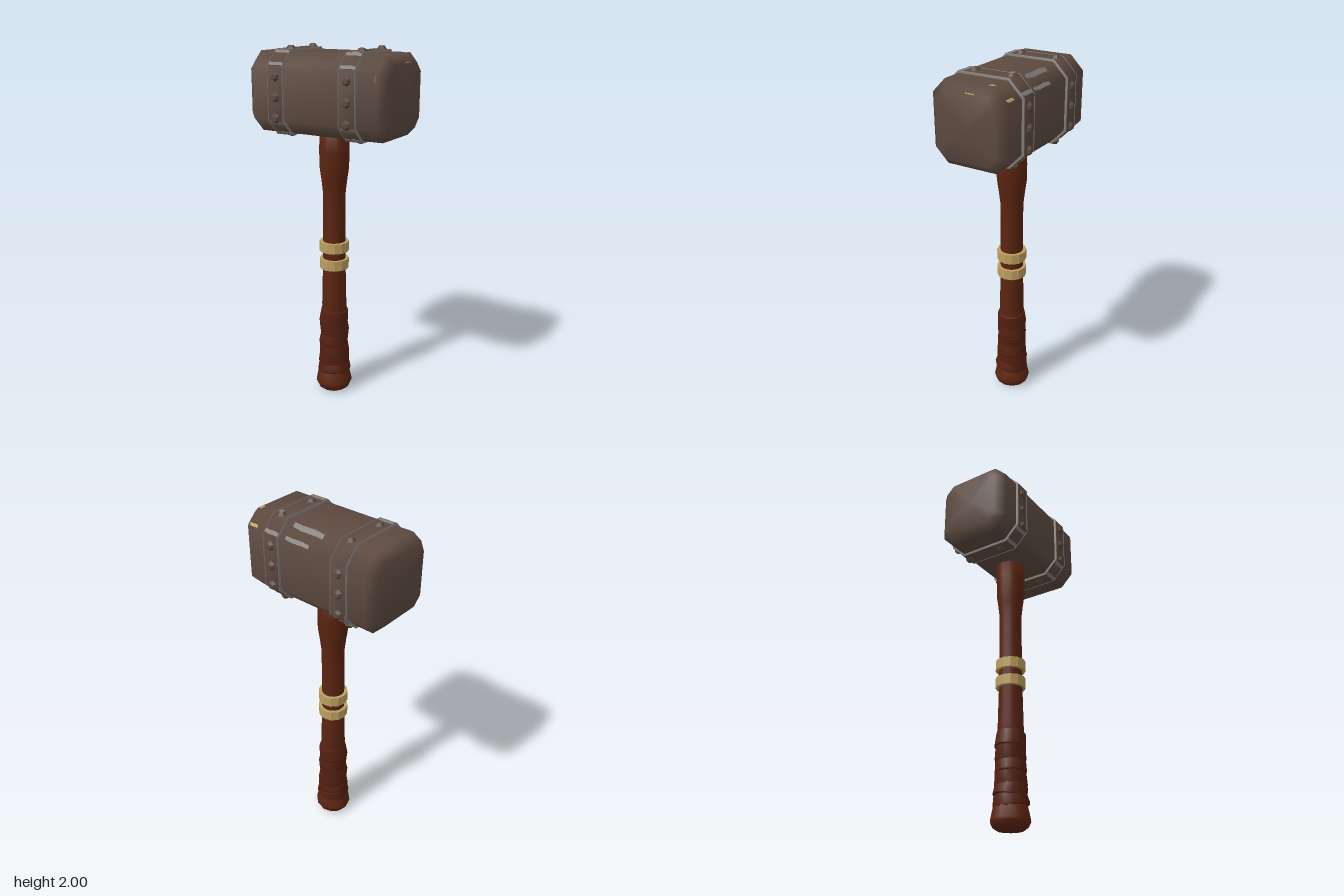
import * as THREE from 'three';
import { toCreasedNormals } from 'three/addons/utils/BufferGeometryUtils.js';

const HALF_Y = 0.2125, HALF_Z = 0.215, CHAMFER = 0.075;

function material(name, color) {
  const m = new THREE.MeshStandardMaterial({ color });
  m.name = name;
  return m;
}

// Closed loft along x through chamfered rectangles; each section is [x, growth]
function octagonLoft(sections) {
  const pos = [], index = [];
  for (const [x, g] of sections) {
    const a = HALF_Y + g, b = HALF_Z + g, c = CHAMFER + g * 0.6;
    const ring = [[a, b - c], [a - c, b], [c - a, b], [-a, b - c], [-a, c - b], [c - a, -b], [a - c, -b], [a, c - b]];
    for (const [y, z] of ring) pos.push(x, y, z);
  }
  const last = (sections.length - 1) * 8;
  const centre = pos.length / 3;
  pos.push(sections[0][0], 0, 0, sections[sections.length - 1][0], 0, 0);
  for (let k = 0; k < 8; k++) {
    const n = (k + 1) % 8;
    for (let s = 0; s < last; s += 8) {
      index.push(s + k, s + n, s + 8 + k, s + n, s + 8 + n, s + 8 + k);
    }
    index.push(centre, n, k, centre + 1, last + k, last + n);
  }
  const geo = new THREE.BufferGeometry();
  geo.setAttribute('position', new THREE.Float32BufferAttribute(pos, 3));
  geo.setIndex(index);
  geo.computeVertexNormals();
  return geo;
}

// Thin irregular chip facing +z
function chipGeometry(w, h) {
  const pts = [[-0.5, -0.3], [-0.2, -0.5], [0.25, -0.4], [0.5, -0.5], [0.5, 0.25], [0.2, 0.5], [-0.3, 0.4], [-0.5, 0.5]];
  const shape = new THREE.Shape(pts.map(([x, y]) => new THREE.Vector2(x * w, y * h)));
  return new THREE.ExtrudeGeometry(shape, { depth: 0.004, bevelEnabled: false });
}

function lathe(profile, segments) {
  return new THREE.LatheGeometry(profile.map(([r, y]) => new THREE.Vector2(r, y)), segments);
}

export function createModel() {
  const model = new THREE.Group();
  model.name = 'mallet';
  const iron = material('brown iron', 0x5d4a40);
  const worn = material('worn steel', 0x827d79);
  const wood = material('reddish wood', 0x5b2410);
  const leather = material('dark leather', 0x542010);
  const brass = material('pale brass', 0xbd9f60);

  const add = (parent, name, geo, mat, x = 0, y = 0, z = 0) => {
    const mesh = new THREE.Mesh(geo, mat);
    mesh.name = name;
    mesh.position.set(x, y, z);
    parent.add(mesh);
    return mesh;
  };

  // Head, turned slightly on the shaft
  const head = new THREE.Group();
  head.name = 'head';
  head.position.y = 1.7625;
  head.rotation.y = -0.04;
  model.add(head);
  add(head, 'headBlock', octagonLoft([[-0.42, -0.048], [-0.37, 0], [0.37, 0], [0.42, -0.048]]), iron);

  // Frames facing outward from the head; angle runs from front (0) to top (90)
  const face = (degrees) => {
    const g = new THREE.Group();
    g.name = 'faceDetails';
    g.rotation.x = -THREE.MathUtils.degToRad(degrees);
    head.add(g);
    return g;
  };
  const front = face(0), top = face(90), back = face(180), bottom = face(-90);
  const upperFront = face(45), upperBack = face(135), lowerFront = face(-45), lowerBack = face(-135);

  // Bands with worn rims and hexagonal rivets
  const rivetGeo = toCreasedNormals(
    new THREE.CylinderGeometry(0.015, 0.028, 0.018, 6).rotateX(Math.PI / 2), 0.3);
  const bandGeo = octagonLoft([[-0.048, 0], [-0.046, 0.011], [0.046, 0.011], [0.048, 0]]);
  const rimGeo = octagonLoft([[-0.003, 0], [-0.002, 0.0125], [0.002, 0.0125], [0.003, 0]]);
  for (const x of [-0.222, 0.208]) {
    add(head, 'band', bandGeo, iron, x);
    for (const side of [-1, 1]) add(head, 'bandRim', rimGeo, worn, x + side * 0.047);

    for (const y of [0.09, -0.0175, -0.127]) {
      add(front, 'rivet', rivetGeo, iron, x, y, HALF_Z + 0.018);
      add(back, 'rivet', rivetGeo, iron, x, -y, HALF_Z + 0.018);
    }
    for (const z of [-0.135, 0.075]) {
      add(top, 'rivet', rivetGeo, iron, x, -z, HALF_Y + 0.018);
      add(bottom, 'rivet', rivetGeo, iron, x, z, HALF_Y + 0.018);
    }

    // Worn patches where the bands fold over the corners
    const patch = chipGeometry(0.088, 0.024);
    for (const corner of [upperFront, lowerFront]) {
      for (const v of [-0.042, 0.042]) add(corner, 'bandWear', patch, worn, x, v, 0.2575);
    }
    add(top, 'bandWear', patch, worn, x, -0.127, HALF_Y + 0.009);
    add(x > 0 ? upperBack : lowerBack, 'bandWear', patch, worn, x, 0.04, 0.2575);
  }
  add(top, 'rivetWear', new THREE.CylinderGeometry(0.014, 0.015, 0.003, 6).rotateX(Math.PI / 2),
    worn, 0.208, 0.135, HALF_Y + 0.028);

  // Scuffs and small bright chips on the head block
  add(upperBack, 'scuff', chipGeometry(0.19, 0.032), worn, 0.02, -0.034, 0.2465);
  add(upperBack, 'scuff', chipGeometry(0.15, 0.024), worn, 0.05, 0.038, 0.2465);
  add(upperBack, 'brassChip', chipGeometry(0.055, 0.018), brass, 0.34, 0.036, 0.2465);
  add(top, 'brassChip', chipGeometry(0.02, 0.035), brass, 0.36, 0.12, HALF_Y - 0.003);
  add(front, 'smallScuff', chipGeometry(0.005, 0.035), worn, 0.36, 0.107, HALF_Z - 0.003);
  const endChip = add(head, 'brassChip', chipGeometry(0.05, 0.008), brass, 0.411, 0.171, -0.03);
  endChip.rotation.set(0, Math.PI / 2, 0);

  // Wooden shaft, thicker under the head
  add(model, 'shaft', lathe([
    [0, 0.08], [0.07, 0.08], [0.071, 0.55], [0.065, 0.8], [0.063, 1.1], [0.064, 1.22],
    [0.072, 1.29], [0.082, 1.36], [0.083, 1.45], [0.08, 1.6], [0, 1.6]
  ], 16), wood);

  // Pair of faceted brass rings
  for (const y of [0.803, 0.905]) {
    const ring = new THREE.CylinderGeometry(0.083, 0.083, 0.058, 12);
    add(model, 'shaftRing', toCreasedNormals(ring, 0.3), brass, 0, y);
  }

  // Grip: overlapping leather turns, each leaning a different way
  const turns = [[0.475, 0.079, 0.085], [0.405, 0.081, 0.084], [0.335, 0.081, 0.085],
    [0.265, 0.083, 0.088], [0.205, 0.086, 0.092], [0.155, 0.088, 0.098]];
  turns.forEach(([y, rTop, rBottom], i) => {
    const h = i < 4 ? 0.09 : 0.07;
    const turn = add(model, 'gripTurn', lathe([
      [0.06, -h / 2], [rBottom - 0.004, -h / 2], [rBottom, -h / 2 + 0.01], [rTop, h / 2 - 0.006],
      [rTop - 0.006, h / 2], [0.06, h / 2]
    ], 14), leather, 0, y);
    turn.rotation.set(0.12 * Math.sin(i * 2.1), 0, i % 2 ? 0.1 : -0.12);
  });

  // Flared pommel
  const pommel = add(model, 'pommel', lathe([
    [0, 0.003], [0.07, 0.003], [0.092, 0.018], [0.105, 0.045], [0.104, 0.06], [0.09, 0.125], [0.07, 0.15]
  ], 12), wood);
  pommel.rotation.z = 0.02;

  return model;
}
